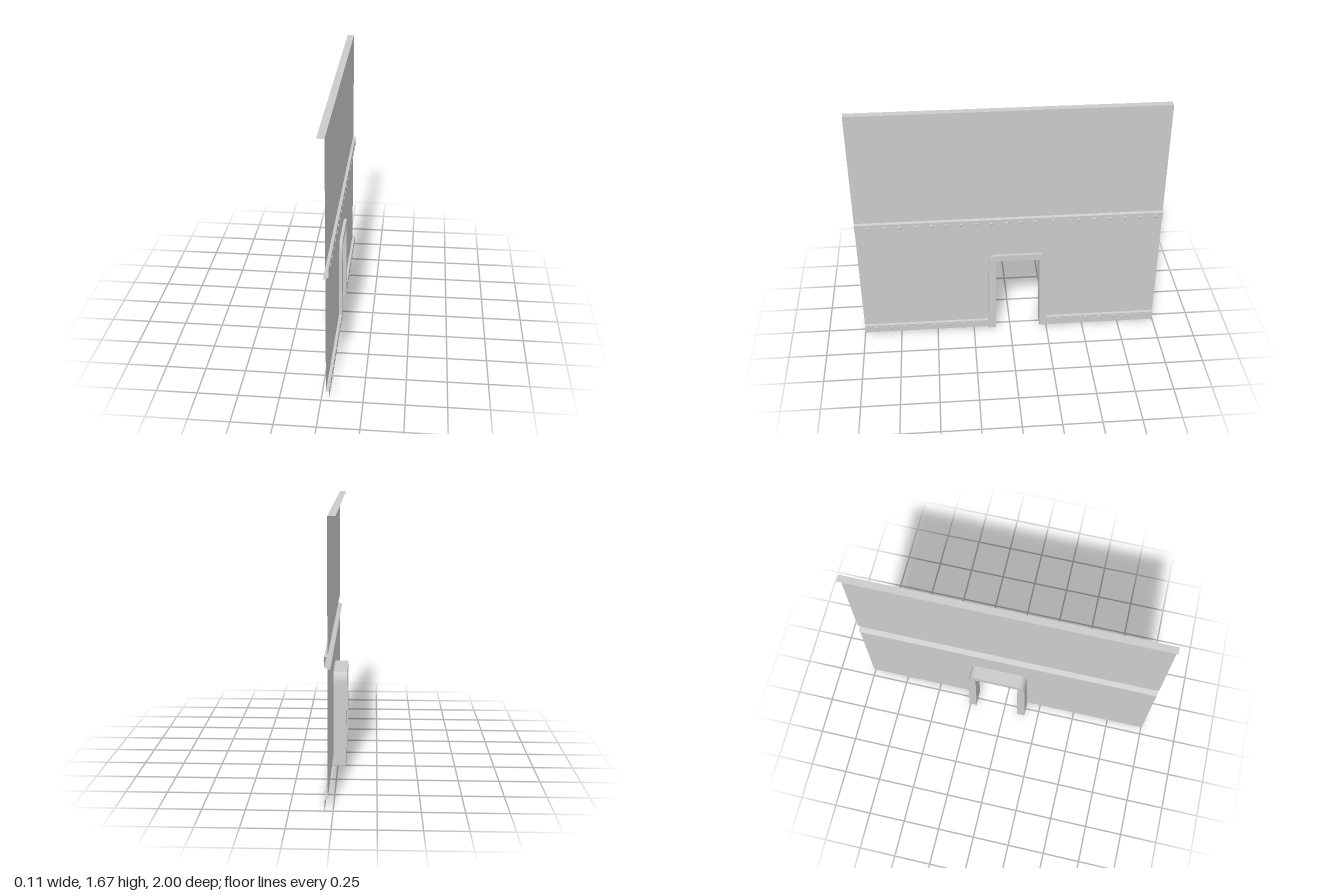
import * as THREE from 'three';

const sheetMat = new THREE.MeshStandardMaterial({ color: 0xcccccc, side: THREE.DoubleSide });

function add(group, name, geometry) {
  const mesh = new THREE.Mesh(geometry, sheetMat);
  mesh.name = name;
  group.add(mesh);
  return mesh;
}

// Folded sheet: an (x, y) profile swept between two z positions, with sharp folds
function fold(profile, zFront, zBack) {
  const pos = [];
  for (let i = 0; i < profile.length - 1; i++) {
    const [ax, ay] = profile[i], [bx, by] = profile[i + 1];
    const a = [ax, ay, zFront], b = [ax, ay, zBack], c = [bx, by, zBack], d = [bx, by, zFront];
    pos.push(...a, ...c, ...b, ...a, ...d, ...c);
  }
  const g = new THREE.BufferGeometry();
  g.setAttribute('position', new THREE.Float32BufferAttribute(pos, 3));
  g.computeVertexNormals();
  return g;
}

// Outer edge of the arch, drawn with u = -z
function outerArch(path, bottom) {
  path.lineTo(-0.153, bottom);
  path.lineTo(-0.144, 0.53);
  path.bezierCurveTo(-0.141, 0.585, -0.125, 0.61, -0.085, 0.61);
  path.lineTo(0.195, 0.61);
  path.bezierCurveTo(0.23, 0.61, 0.243, 0.585, 0.246, 0.53);
  path.lineTo(0.259, bottom);
}

export function createModel() {
  const group = new THREE.Group();
  const wallX = 0.03, stripX = 0.048;

  // Upper sheet: top flange, wall, step out and riveted seam, drip ledge
  add(group, 'upperSheet', fold([
    [-0.015, 1.67], [wallX, 1.67], [wallX, 0.903], [stripX, 0.898],
    [stripX, 0.84], [0.015, 0.826],
  ], 1, -1));

  // Lower sheet with the doorway cut out
  const wall = new THREE.Shape();
  wall.moveTo(-1, 0.067);
  outerArch(wall, 0.067);
  wall.lineTo(1, 0.067);
  wall.lineTo(1, 0.831);
  wall.lineTo(-1, 0.831);
  add(group, 'lowerSheet', new THREE.ShapeGeometry(wall, 8).rotateY(Math.PI / 2).translate(wallX, 0, 0));

  // Bottom riveted strips on either side of the doorway
  add(group, 'bottomStripFront', fold([[wallX, 0.067], [stripX, 0.065], [stripX, 0.01]], 1, 0.15));
  add(group, 'bottomStripBack', fold([[wallX, 0.067], [stripX, 0.065], [stripX, 0]], -0.256, -1));

  // Doorway frame
  const arch = new THREE.Shape();
  arch.moveTo(-0.1, 0);
  outerArch(arch, 0);
  arch.lineTo(0.205, 0);
  arch.lineTo(0.195, 0.565);
  arch.lineTo(-0.095, 0.565);
  const archGeo = new THREE.ExtrudeGeometry(arch, { depth: 0.108, bevelEnabled: false, curveSegments: 8 });
  archGeo.rotateY(Math.PI / 2).translate(-0.058, 0, 0);
  // The back of the frame leans slightly inward towards the floor
  const p = archGeo.attributes.position;
  for (let i = 0; i < p.count; i++) {
    if (p.getX(i) < 0) p.setX(i, -0.052 - 0.01 * p.getY(i));
  }
  archGeo.computeVertexNormals();
  add(group, 'doorFrame', archGeo);

  // Rivets: shallow domes facing +x
  const dome = new THREE.SphereGeometry(0.012, 10, 4, 0, Math.PI * 2, 0, Math.PI / 2)
    .scale(1, 0.6, 1).rotateZ(-Math.PI / 2);
  const rows = [
    ['seamRivet', 0.87, [0.907, 0.81, 0.71, 0.61, 0.506, 0.415, 0.32, 0.217, 0.12, 0.02,
      -0.07, -0.163, -0.28, -0.45, -0.554, -0.65, -0.752, -0.85, -0.95]],
    ['bottomRivet', 0.047, [0.918, 0.816, 0.72, 0.624, 0.527, 0.425, 0.313, 0.217,
      -0.33, -0.43, -0.527, -0.624, -0.725, -0.827]],
  ];
  for (const [name, y, zs] of rows) {
    for (const z of zs) add(group, name, dome).position.set(stripX, y, z);
  }

  return group;
}
